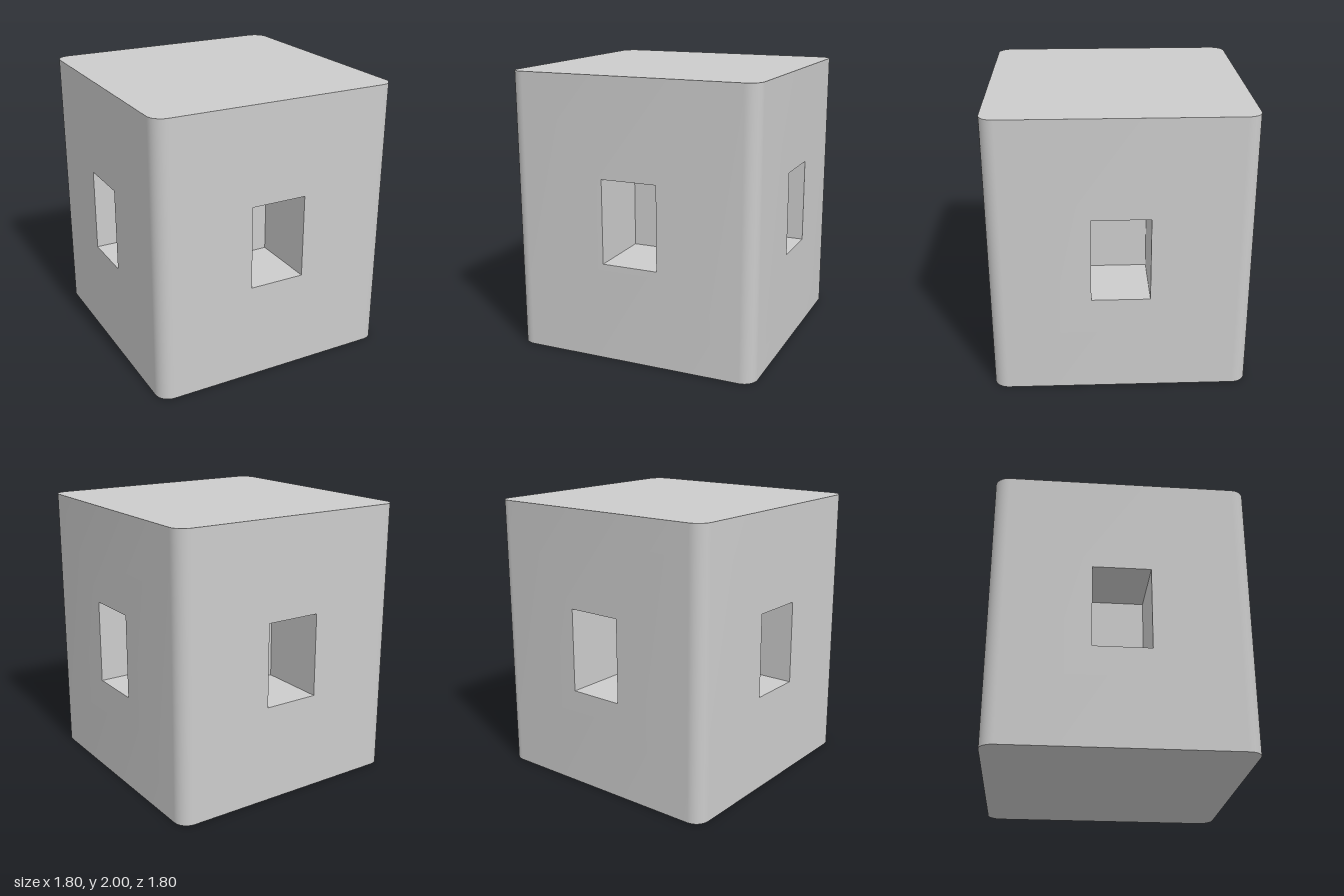
import * as THREE from 'three';
import { mergeGeometries, toCreasedNormals } from 'three/addons/utils/BufferGeometryUtils.js';

const HALF = 0.9, HEIGHT = 2, RADIUS = 0.1, SEGMENTS = 8;
const FLAT = HALF - RADIUS; // half width of the flat part of a side
const WIN_W = 0.405, WIN_H = 0.6, WIN_D = 0.5, WIN_Y = 1;

function rect(target, x0, y0, x1, y1) {
  target.moveTo(x0, y0);
  target.lineTo(x1, y0);
  target.lineTo(x1, y1);
  target.lineTo(x0, y1);
  target.closePath();
  return target;
}

// Flat side panel with a window opening
function sidePanel() {
  const shape = rect(new THREE.Shape(), -FLAT, 0, FLAT, HEIGHT);
  shape.holes.push(rect(new THREE.Path(), -WIN_W / 2, WIN_Y - WIN_H / 2, WIN_W / 2, WIN_Y + WIN_H / 2));
  return new THREE.ShapeGeometry(shape).translate(0, 0, HALF);
}

// Blind window recess: a box turned inside out, without its front face
function recess() {
  const box = new THREE.BoxGeometry(WIN_W, WIN_H, WIN_D);
  const index = Array.from(box.index.array);
  index.splice(24, 6);
  box.setIndex(index.reverse());
  return box.translate(0, WIN_Y, HALF - WIN_D / 2);
}

// Rounded vertical corner
function corner() {
  return new THREE.CylinderGeometry(RADIUS, RADIUS, HEIGHT, SEGMENTS, 1, true, 0, Math.PI / 2)
    .translate(FLAT, HEIGHT / 2, FLAT);
}

// Rounded square for the top and the base
function cap() {
  const shape = new THREE.Shape();
  [[1, 1], [-1, 1], [-1, -1], [1, -1]].forEach(([sx, sy], i) => {
    const start = i * Math.PI / 2;
    shape.absarc(sx * FLAT, sy * FLAT, RADIUS, start, start + Math.PI / 2, false);
  });
  return new THREE.ShapeGeometry(shape, SEGMENTS);
}

export function createModel() {
  const group = new THREE.Group();
  group.name = 'windowBlock';

  const parts = [
    cap().rotateX(-Math.PI / 2).translate(0, HEIGHT, 0),
    cap().rotateX(Math.PI / 2),
  ];
  // Four identical sides
  for (let i = 0; i < 4; i++) {
    for (const part of [sidePanel(), recess(), corner()]) {
      parts.push(part.rotateY(i * Math.PI / 2));
    }
  }

  const body = new THREE.Mesh(
    toCreasedNormals(mergeGeometries(parts), 0.6),
    new THREE.MeshStandardMaterial({ color: 0xcccccc })
  );
  body.name = 'body';
  group.add(body);
  return group;
}
